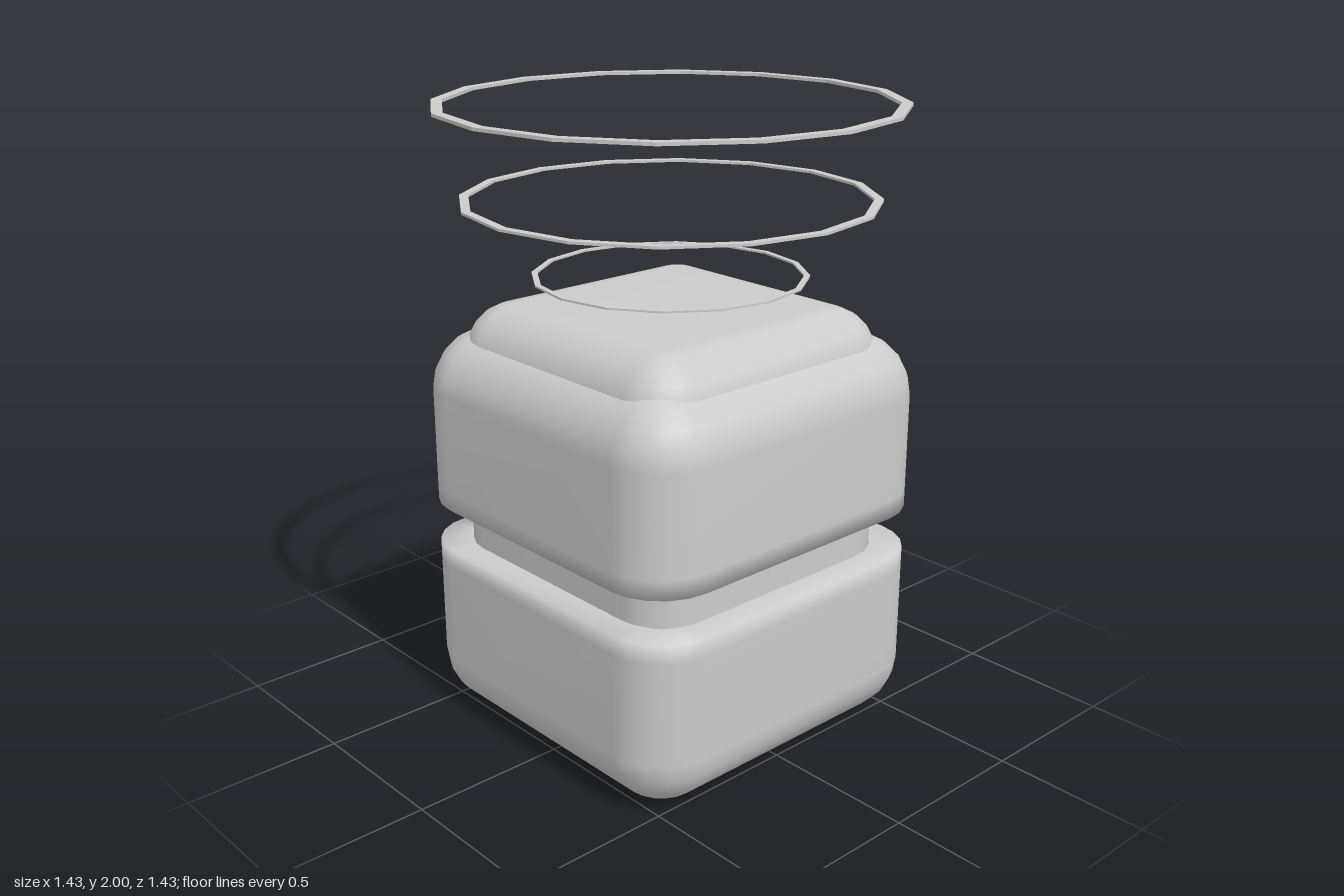
import * as THREE from 'three';
import { mergeVertices } from 'three/addons/utils/BufferGeometryUtils.js';

const material = new THREE.MeshStandardMaterial({ color: 0xcccccc, side: THREE.DoubleSide });
const flatMaterial = new THREE.MeshStandardMaterial({ color: 0xcccccc, flatShading: true });

// Stacks rounded-square loops; profile rows are [half width, y], bottom to top.
// The corner radius shrinks with the inset, so the corners become spherical.
function roundedBlock(name, half, radius, profile) {
  const steps = 5, count = 4 * (steps + 1);
  const positions = [], index = [];
  for (const [w, y] of profile) {
    const r = Math.min(w, Math.max(0, radius - (half - w)));
    for (let corner = 0; corner < 4; corner++) {
      const start = corner * Math.PI / 2;
      const cx = (w - r) * (corner === 0 || corner === 3 ? 1 : -1);
      const cz = (w - r) * (corner < 2 ? 1 : -1);
      for (let s = 0; s <= steps; s++) {
        const a = start + (s / steps) * Math.PI / 2;
        positions.push(cx + r * Math.cos(a), y, cz + r * Math.sin(a));
      }
    }
  }
  for (let row = 0; row < profile.length - 1; row++) {
    for (let i = 0; i < count; i++) {
      const a = row * count + i, b = row * count + (i + 1) % count;
      index.push(a, a + count, b, b, a + count, b + count);
    }
  }
  let geometry = new THREE.BufferGeometry();
  geometry.setAttribute('position', new THREE.Float32BufferAttribute(positions, 3));
  geometry.setIndex(index);
  geometry = mergeVertices(geometry, 1e-5);
  geometry.computeVertexNormals();
  const mesh = new THREE.Mesh(geometry, material);
  mesh.name = name;
  return mesh;
}

// Quarter-round edge as profile rows; dir = 1 closes the top, -1 opens the bottom.
function roundedEdge(half, radius, y, dir) {
  const rows = [];
  for (let i = 0; i <= 5; i++) {
    const a = (i / 5) * Math.PI / 2;
    rows.push([half - radius * (1 - Math.cos(a)), y - dir * radius * (1 - Math.sin(a))]);
  }
  rows.push([0, y]);
  return dir > 0 ? rows : rows.reverse();
}

// Flat 16-sided hoop
function hoop(name, outer, width, top, height) {
  const section = [[outer - width, 0], [outer, 0], [outer, height], [outer - width, height], [outer - width, 0]];
  const geometry = new THREE.LatheGeometry(section.map(([x, y]) => new THREE.Vector2(x, y)), 16);
  const mesh = new THREE.Mesh(geometry, flatMaterial);
  mesh.name = name;
  mesh.position.y = top - height;
  return mesh;
}

export function createModel() {
  const model = new THREE.Group();
  model.name = 'jarWithHoops';
  const half = 0.585, radius = 0.19;

  // Inner core, seen in the groove and as the raised top
  model.add(roundedBlock('core', 0.5, 0.16, [[0.5, 0.3], ...roundedEdge(0.5, 0.16, 1.378, 1)]));

  // Lower shell with an open rim
  model.add(roundedBlock('lowerShell', half, radius, [
    ...roundedEdge(half, radius, 0.005, -1), [half, 0.53], [half, 0.59], [0.48, 0.59],
  ]));

  // Upper shell with an open lower rim
  model.add(roundedBlock('upperShell', half, radius, [
    [0.48, 0.73], [half, 0.73], [half, 0.79], ...roundedEdge(half, radius, 1.295, 1),
  ]));

  // Floating hoops, widening upward
  model.add(hoop('smallHoop', 0.428, 0.018, 1.475, 0.006));
  model.add(hoop('middleHoop', 0.642, 0.028, 1.713, 0.008));
  model.add(hoop('largeHoop', 0.715, 0.034, 2.0, 0.01));
  return model;
}
